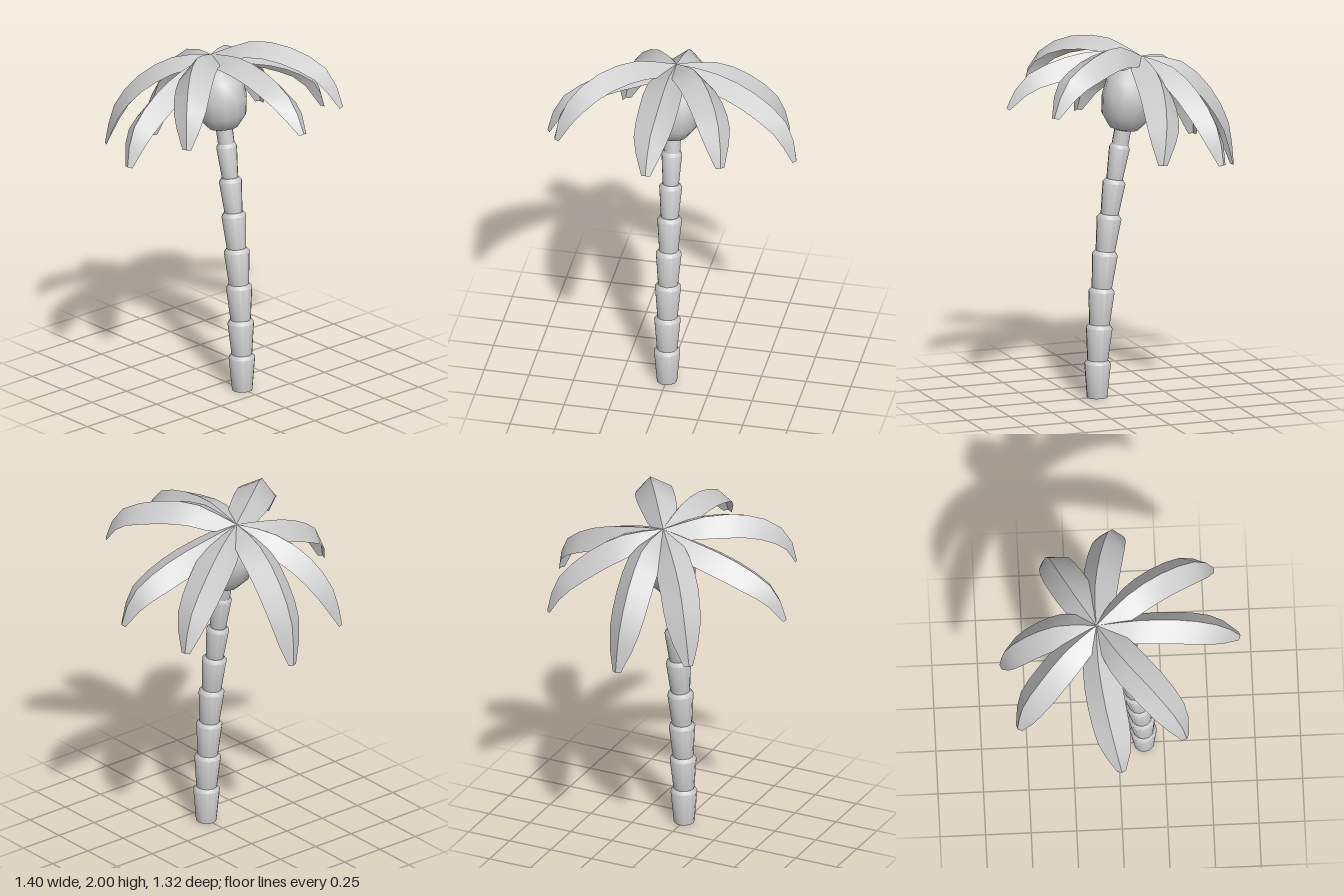
import * as THREE from 'three';
import { toCreasedNormals } from 'three/addons/utils/BufferGeometryUtils.js';

const grey = new THREE.MeshStandardMaterial({ color: 0xcccccc, side: THREE.DoubleSide });
grey.name = 'plain grey';

function addMesh(parent, name, geometry) {
  const mesh = new THREE.Mesh(geometry, grey);
  mesh.name = name;
  parent.add(mesh);
  return mesh;
}

function lathe(points, sides) {
  const profile = points.map(([r, y]) => new THREE.Vector2(r, y));
  return toCreasedNormals(new THREE.LatheGeometry(profile, sides), 0.8);
}

// Folded leaf swept along a spine: two strips meeting at the midrib.
// The roll tips the fold to one side and fades out towards the tip.
function frondGeometry(points, roll) {
  const widths = [0.045, 0.085, 0.1, 0.105, 0.105, 0.102, 0.092, 0.068, 0.025];
  const curve = new THREE.CatmullRomCurve3(points.map((p) => new THREE.Vector3(...p)));
  const heading = curve.getPoint(1).sub(curve.getPoint(0)).setY(0).normalize();
  const across = heading.cross(new THREE.Vector3(0, 1, 0));
  const positions = [];
  const index = [];
  for (const strip of [-1, 0]) {
    const start = positions.length / 3;
    widths.forEach((w, i) => {
      const t = i / (widths.length - 1);
      const spine = curve.getPointAt(t);
      const tangent = curve.getTangentAt(t);
      const side = across.clone().applyAxisAngle(tangent, roll * (1 - t ** 3));
      const normal = side.clone().cross(tangent).normalize();
      const drop = w * (0.8 - 0.3 * t ** 3);
      for (const s of [strip, strip + 1]) {
        const p = spine.clone().addScaledVector(side, s * w).addScaledVector(normal, -Math.abs(s) * drop);
        positions.push(p.x, p.y, p.z);
      }
      if (i > 0) {
        const a = start + (i - 1) * 2;
        index.push(a, a + 1, a + 2, a + 1, a + 3, a + 2);
      }
    });
  }
  const geometry = new THREE.BufferGeometry();
  geometry.setAttribute('position', new THREE.Float32BufferAttribute(positions, 3));
  geometry.setIndex(index);
  geometry.computeVertexNormals();
  return geometry;
}

export function createModel() {
  const model = new THREE.Group();
  model.name = 'palmTree';

  // Leaning trunk of flared, stacked segments: [height, z, rim radius]
  const trunk = new THREE.Group();
  trunk.name = 'trunk';
  model.add(trunk);
  const joints = [
    [0, 0.141, 0.074], [0.2, 0.138, 0.074], [0.4, 0.128, 0.074], [0.605, 0.114, 0.073],
    [0.81, 0.094, 0.072], [1.015, 0.069, 0.069], [1.21, 0.04, 0.064], [1.405, 0.008, 0.058], [1.52, -0.015, 0.047],
  ];
  for (let i = 0; i < joints.length - 1; i++) {
    const [y, z] = joints[i];
    const [topY, topZ, rim] = joints[i + 1];
    const length = Math.hypot(topY - y, topZ - z);
    const foot = i === 7 ? 0.046 : rim * 0.77;
    const segment = addMesh(trunk, 'trunkSegment', lathe(
      [[0, 0], [foot, 0], [rim, length - 0.01], [foot * 0.98, length + 0.012], [0, length + 0.012]], 12));
    segment.position.set(0, y, z);
    segment.rotation.x = Math.atan2(topZ - z, topY - y);
  }

  // Rounded heart under the leaves
  const heart = addMesh(model, 'crownHeart', lathe(
    [[0, -0.19], [0.08, -0.17], [0.135, -0.1], [0.146, 0], [0.13, 0.1], [0.075, 0.165], [0, 0.19]], 12));
  heart.position.set(0, 1.67, -0.04);
  heart.rotation.x = -0.15;

  // Leaves: roll, then three points and the tip, all from a shared root
  const fronds = {
    frontFrond: [-0.25, [0, 1.95, 0.12], [0, 1.92, 0.37], [-0.01, 1.83, 0.57], [-0.01, 1.67, 0.67]],
    frontLeftFrond: [-0.25, [0.15, 2.0, 0.08], [0.28, 1.97, 0.29], [0.36, 1.87, 0.46], [0.385, 1.69, 0.54]],
    leftFrond: [-0.35, [0.21, 1.87, -0.12], [0.45, 1.79, -0.08], [0.65, 1.64, -0.02], [0.7, 1.45, 0.02]],
    backLeftFrond: [-0.3, [0.19, 1.87, -0.23], [0.37, 1.76, -0.31], [0.53, 1.58, -0.365], [0.58, 1.39, -0.38]],
    backFrond: [0, [0.02, 1.87, -0.32], [0.02, 1.74, -0.48], [0.02, 1.5, -0.62], [0.03, 1.25, -0.65]],
    backRightFrond: [0.2, [-0.12, 1.87, -0.28], [-0.25, 1.75, -0.43], [-0.34, 1.56, -0.54], [-0.38, 1.34, -0.57]],
    rightFrond: [0.2, [-0.2, 1.86, -0.12], [-0.43, 1.78, -0.09], [-0.64, 1.63, -0.04], [-0.7, 1.45, -0.01]],
    frontRightFrond: [0.25, [-0.22, 1.97, 0.01], [-0.43, 1.93, 0.19], [-0.55, 1.8, 0.31], [-0.585, 1.63, 0.35]],
  };
  for (const [name, [roll, ...path]] of Object.entries(fronds)) {
    addMesh(model, name, frondGeometry([[0, 1.9, -0.12], ...path], roll));
  }
  return model;
}
